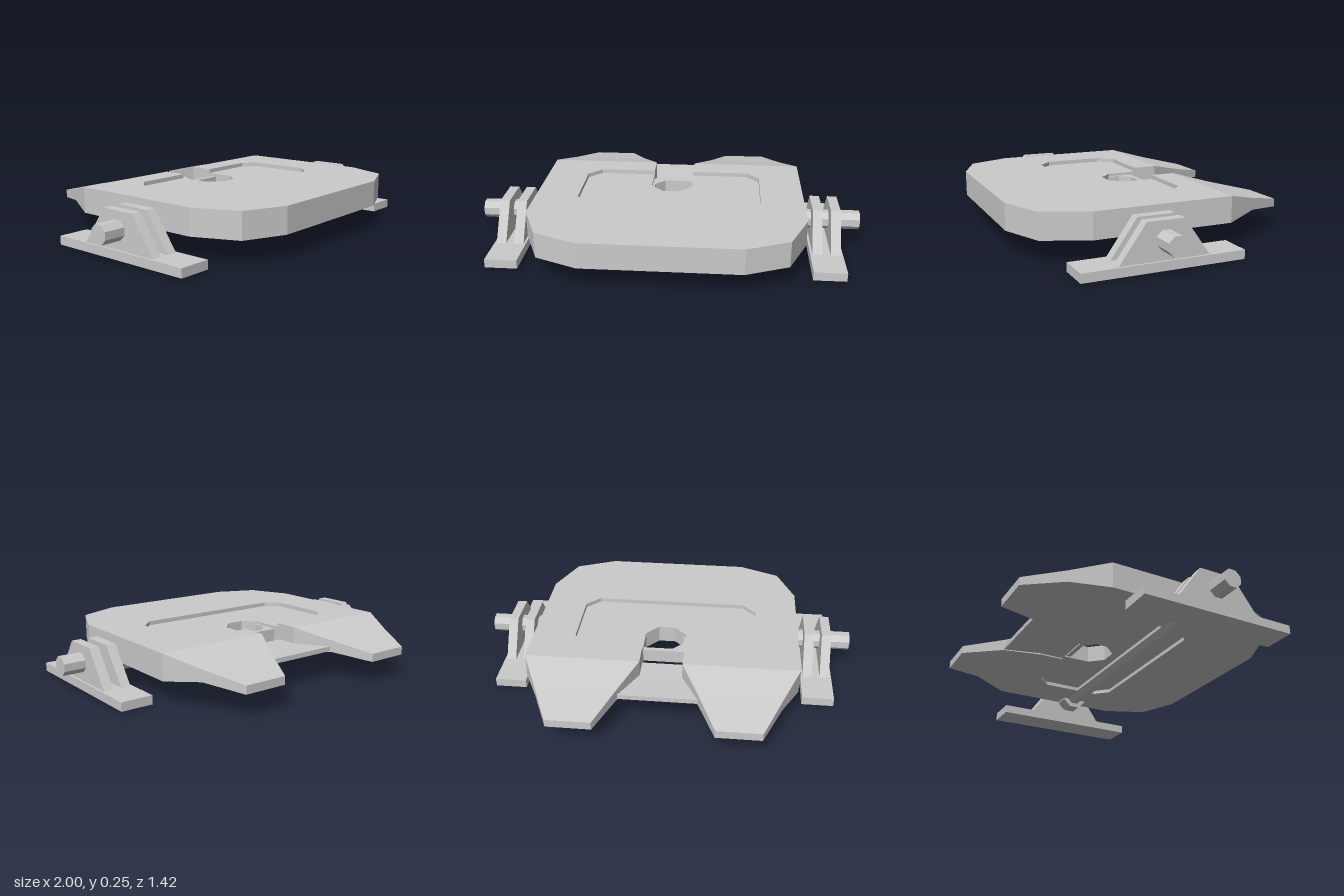
import * as THREE from 'three';

const grey = new THREE.MeshStandardMaterial({ color: 0xcccccc, flatShading: true });
const SHAFT_Y = 0.14, SHAFT_Z = 0.125;

function add(parent, name, geometry) {
  const mesh = new THREE.Mesh(geometry, grey);
  mesh.name = name;
  parent.add(mesh);
  return mesh;
}

// Flat slab from an [x, z] outline, between two heights
function slab(points, y0, y1) {
  const shape = new THREE.Shape(points.map(([x, z]) => new THREE.Vector2(x, -z)));
  const g = new THREE.ExtrudeGeometry(shape, { depth: y1 - y0, bevelEnabled: false });
  return g.rotateX(-Math.PI / 2).translate(0, y0, 0);
}

// Closes a half outline with its mirror image across x = 0
const mirrored = (half) => [...half, ...half.map(([x, z]) => [-x, z]).reverse()];

// Joins rectangular sections [z, x0, x1, y0, y1], ordered front to back
function loft(sections, side) {
  const pos = [], index = [];
  for (const [z, x0, x1, y0, y1] of sections)
    pos.push(side * x0, y0, z, side * x1, y0, z, side * x1, y1, z, side * x0, y1, z);
  const quad = (a, b, c, d) => side > 0
    ? index.push(a, b, c, a, c, d) : index.push(a, c, b, a, d, c);
  for (let s = 0; s < sections.length - 1; s++)
    for (let i = 0; i < 4; i++) {
      const j = (i + 1) % 4, a = s * 4;
      quad(a + i, a + 4 + i, a + 4 + j, a + j);
    }
  const e = (sections.length - 1) * 4;
  quad(0, 1, 2, 3);
  quad(e + 3, e + 2, e + 1, e);
  const g = new THREE.BufferGeometry();
  g.setAttribute('position', new THREE.Float32BufferAttribute(pos, 3));
  g.setIndex(index);
  const flat = g.toNonIndexed();
  flat.computeVertexNormals();
  return flat;
}

// Octagonal bar along x, with flats facing up and down
function octagonBar(apothem, length) {
  const g = new THREE.CylinderGeometry(1, 1, length, 8);
  const r = apothem / Math.cos(Math.PI / 8);
  return g.rotateY(Math.PI / 8).scale(r, 1, r).rotateZ(Math.PI / 2);
}

export function createModel() {
  const model = new THREE.Group();
  model.name = 'couplingPlate';

  // Main plate, open at the rear slot and around the inset panel
  const insetEdge = [[0.11, -0.2], [0.41, -0.2], [0.48, -0.13], [0.48, 0.19], [0.41, 0.26]];
  add(model, 'topPlate', slab(mirrored([
    [0.395, 0.71], [0.61, 0.62], [0.705, 0.395], [0.705, -0.33], [0.11, -0.33], ...insetEdge,
  ]), 0.118, 0.252));

  // Recessed panel with the throat for the pin
  add(model, 'insetPanel', slab(mirrored([
    ...[...insetEdge].reverse(), [0.11, -0.04], [0.045, 0.03],
  ]), 0.138, 0.23));

  // Locking jaw across the throat
  add(model, 'lockingJaw', slab([
    [-0.11, -0.175], [0.11, -0.175], [0.11, -0.15], [-0.045, -0.15],
    [-0.097, -0.095], [-0.097, -0.03], [-0.11, -0.04],
  ], 0.145, 0.215));

  // Guide plate between the rear horns
  add(model, 'guidePlate', loft([
    [-0.2, -0.11, 0.11, 0.125, 0.14],
    [-0.22, -0.11, 0.11, 0.125, 0.165],
    [-0.33, -0.115, 0.115, 0.125, 0.165],
    [-0.51, -0.203, 0.203, 0.147, 0.172],
  ], 1));

  // Cross shaft through the plate and brackets
  add(model, 'crossShaft', octagonBar(0.046, 2)).position.set(0, SHAFT_Y, SHAFT_Z);

  // Bracket ear profile, as [z, y]
  const ear = new THREE.Shape([[0.355, 0.04], [0.22, 0.23], [0.033, 0.23], [-0.103, 0.04]]
    .map(([z, y]) => new THREE.Vector2(-z, y)));

  for (const side of [1, -1]) {
    const label = side > 0 ? 'left' : 'right';

    // Tapering rear horn
    add(model, label + 'Horn', loft([
      [-0.33, 0.11, 0.705, 0.118, 0.252],
      [-0.515, 0.203, 0.615, 0.143, 0.204],
      [-0.715, 0.295, 0.522, 0.118, 0.16],
    ], side));

    // Collar carrying the shaft under the plate edge
    add(model, label + 'Collar', octagonBar(0.07, 0.08)).position.set(side * 0.662, SHAFT_Y, SHAFT_Z);

    // Mounting bracket: foot and two ears
    const bracket = new THREE.Group();
    bracket.name = label + 'Bracket';
    bracket.position.x = side * 0.817;
    model.add(bracket);
    add(bracket, 'bracketFoot', new THREE.BoxGeometry(0.165, 0.045, 0.815))
      .position.set(0, 0.0225, SHAFT_Z);
    for (const x of [-0.046, 0.046]) {
      const g = new THREE.ExtrudeGeometry(ear, { depth: 0.05, bevelEnabled: false });
      g.translate(0, 0, -0.025).rotateY(Math.PI / 2);
      add(bracket, 'bracketEar', g).position.x = x;
    }
  }
  return model;
}
